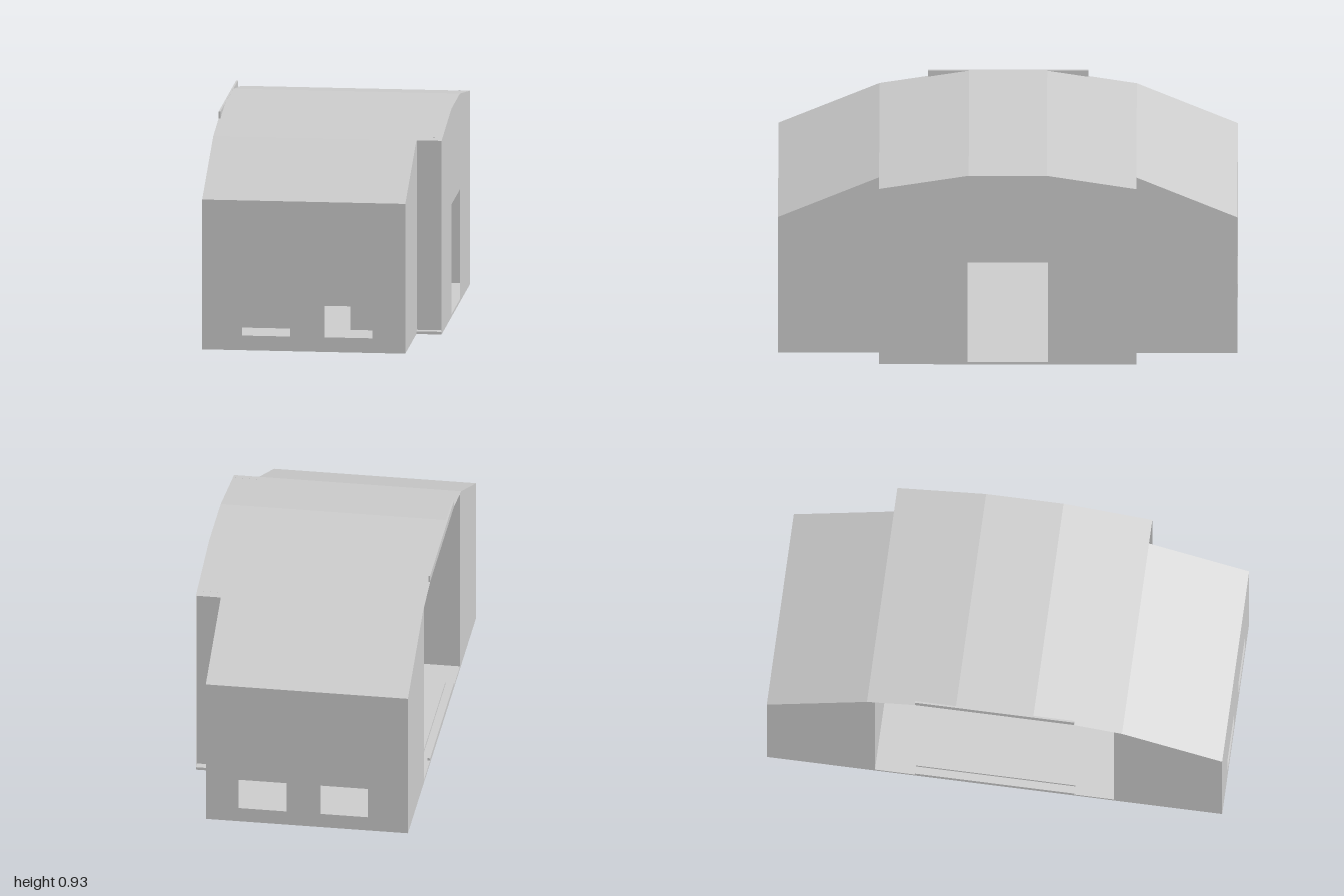
import * as THREE from 'three';

const material = new THREE.MeshStandardMaterial({ color: 0xcccccc, flatShading: true, side: THREE.DoubleSide });
const X0 = -0.5, X1 = 0.39, X2 = 0.5;   // open side, end-bay wall, projecting wall
const ZB = 0.56, ZI = 0.525;            // central bay edge, inner partition face
const FLOOR = 0.012;

// Roof line across the building as [z, y]
const roofLine = [[1, 0.665], [ZB, 0.86], [0.17, 0.925], [-0.17, 0.925], [-ZB, 0.86], [-1, 0.665]];

const rect = (a0, b0, a1, b1) => [[a0, b0], [a1, b0], [a1, b1], [a0, b1]];

function shapeOf(points, holes = []) {
  const toVec = p => new THREE.Vector2(p[0], p[1]);
  const shape = new THREE.Shape(points.map(toVec));
  holes.forEach(h => shape.holes.push(new THREE.Path(h.map(toVec))));
  return shape;
}

export function createModel() {
  const group = new THREE.Group();

  const add = (name, geometry) => {
    const mesh = new THREE.Mesh(geometry, material);
    mesh.name = name;
    group.add(mesh);
    return mesh;
  };
  const box = (name, x0, x1, y0, y1, z0, z1) =>
    add(name, new THREE.BoxGeometry(x1 - x0, y1 - y0, z1 - z0))
      .position.set((x0 + x1) / 2, (y0 + y1) / 2, (z0 + z1) / 2);
  // Thin wall facing z, outline in (x, y)
  const wallZ = (name, z, points, holes) =>
    add(name, new THREE.ShapeGeometry(shapeOf(points, holes))).position.z = z;
  // Thin wall facing x, outline in (z, y)
  const wallX = (name, x, points, holes) =>
    add(name, new THREE.ShapeGeometry(shapeOf(points, holes)).rotateY(-Math.PI / 2)).position.x = x;

  // Floor slab, wider in the central bay
  const plan = [[X0, -1], [X1, -1], [X1, -ZB], [X2, -ZB], [X2, ZB], [X1, ZB], [X1, 1], [X0, 1]];
  add('floor', new THREE.ExtrudeGeometry(shapeOf(plan), { depth: FLOOR, bevelEnabled: false })
    .rotateX(Math.PI / 2)).position.y = FLOOR;

  // Faceted roof, one flat panel per pair of roof line points
  for (let i = 0; i < roofLine.length - 1; i++) {
    const [za, ya] = roofLine[i], [zb, yb] = roofLine[i + 1];
    const x = (i === 0 || i === roofLine.length - 2) ? X1 : X2;
    const g = new THREE.BufferGeometry();
    g.setAttribute('position', new THREE.Float32BufferAttribute(
      [X0, ya, za, x, ya, za, x, yb, zb, X0, yb, zb], 3));
    g.setIndex([0, 1, 2, 0, 2, 3]);
    g.computeVertexNormals();
    add('roofPanel', g);
  }

  // Projecting wall with the main doorway
  wallX('doorWall', X2, [[-ZB, 0], [-0.175, 0], [-0.175, 0.5], [0.175, 0.5], [0.175, 0], [ZB, 0],
    ...roofLine.slice(1, 5)]);

  for (const s of [1, -1]) {
    // End wall with two low windows
    wallZ('endWall', s, rect(X0, 0, X1, 0.665),
      [rect(-0.325, 0.065, -0.115, 0.205), rect(0.035, 0.065, 0.245, 0.205)]);

    // Side walls of the end bay
    wallX('bayWallDoorSide', X1, [[s * ZB, 0], [s, 0], [s, 0.665], [s * ZB, 0.86]]);
    wallX('bayWallOpenSide', X0, [[s * ZI, 0], [s, 0], [s, 0.665], [s * ZB, 0.86], [s * ZI, 0.866]]);

    // Partition with an inner doorway
    const partition = shapeOf([[X0 + 0.001, 0.001], [-0.065, 0.001], [-0.065, 0.285], [0.1, 0.285],
      [0.1, 0.001], [X1 - 0.001, 0.001], [X1 - 0.001, 0.86], [X0 + 0.001, 0.86]]);
    add('partition', new THREE.ExtrudeGeometry(partition, { depth: ZB - ZI, bevelEnabled: false }))
      .position.z = s > 0 ? ZI : -ZB;

    // Recessed cheek closing the projecting bay
    wallZ('bayCheek', s * ZI, rect(X1 - 0.001, 0.001, X2, 0.866));
  }

  // Sliding door tracks on the open side
  box('lowerTrack', X0, X0 + 0.012, FLOOR, 0.024, -0.35, 0.35);
  box('lowerTrack', X0 + 0.038, X0 + 0.05, FLOOR, 0.024, -0.35, 0.35);
  box('upperTrack', X0, X0 + 0.008, 0.896, 0.926, -0.35, 0.35);

  return group;
}
